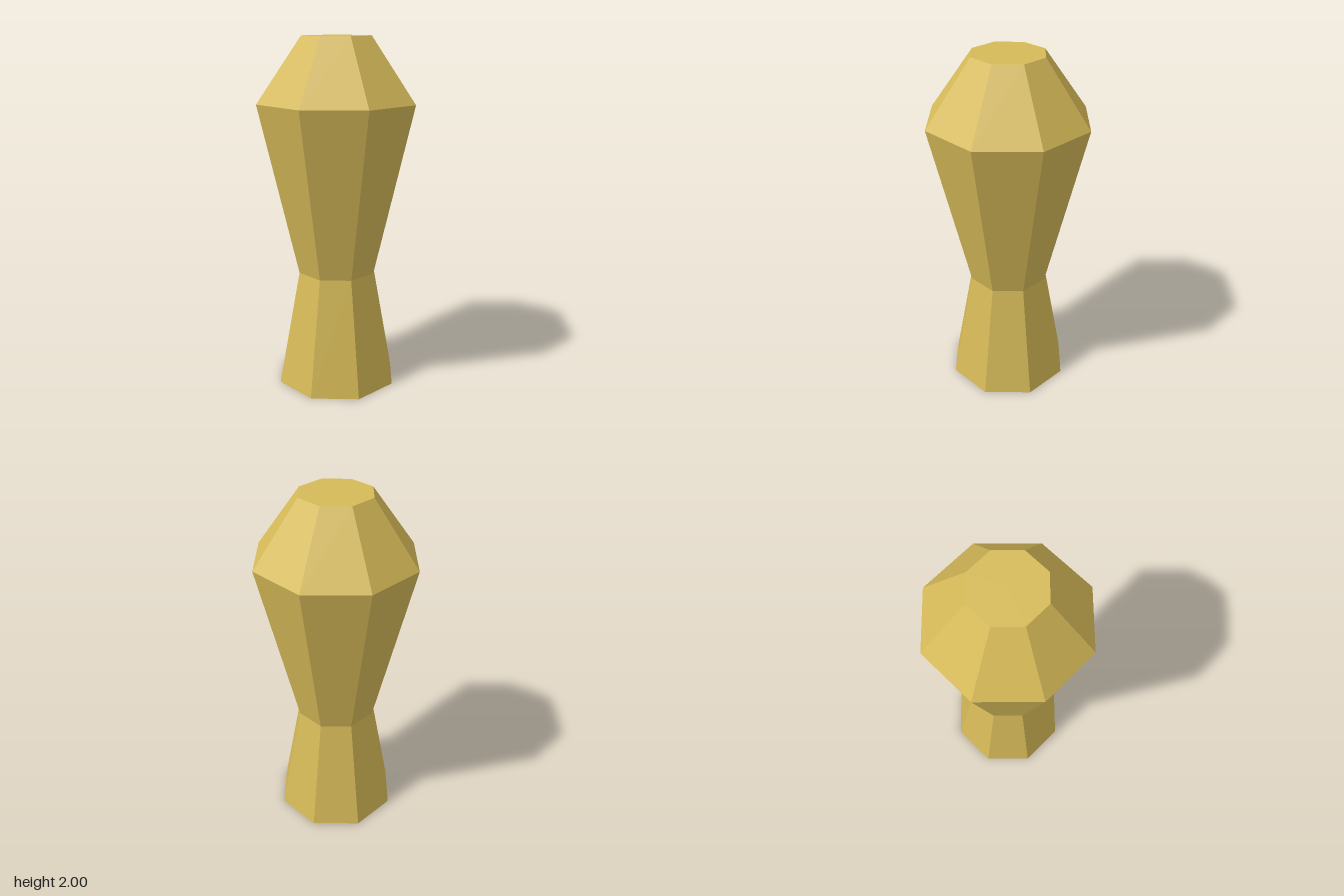
import * as THREE from 'three';

const SIDES = 8;

export function createModel() {
  const model = new THREE.Group();
  model.name = 'facetedPawn';
  const gold = new THREE.MeshStandardMaterial({ color: 0xd6ba58, flatShading: true });
  gold.name = 'gold';

  // Closed solid from stacked octagonal rings: [radius, height]
  const rings = [[0, 0], [0.357, 0], [0.23, 0.67], [0.46, 1.645], [0.205, 2], [0, 2]];
  const names = ['bottomCap', 'flaredBase', 'taperedBody', 'bevelledHead', 'topCap'];

  for (let i = 0; i < names.length; i++) {
    const [r0, y0] = rings[i];
    const [r1, y1] = rings[i + 1];
    let geometry;
    if (y0 === y1) {
      // Flat caps, facing down or up
      geometry = new THREE.CircleGeometry(Math.max(r0, r1), SIDES);
      geometry.rotateX(y0 === 0 ? Math.PI / 2 : -Math.PI / 2);
    } else {
      // Open sloping bands, with corners on the x and z axes
      geometry = new THREE.CylinderGeometry(r1, r0, y1 - y0, SIDES, 1, true);
    }
    geometry = geometry.toNonIndexed();
    geometry.computeVertexNormals();
    const mesh = new THREE.Mesh(geometry, gold);
    mesh.name = names[i];
    mesh.position.y = (y0 + y1) / 2;
    model.add(mesh);
  }
  return model;
}
